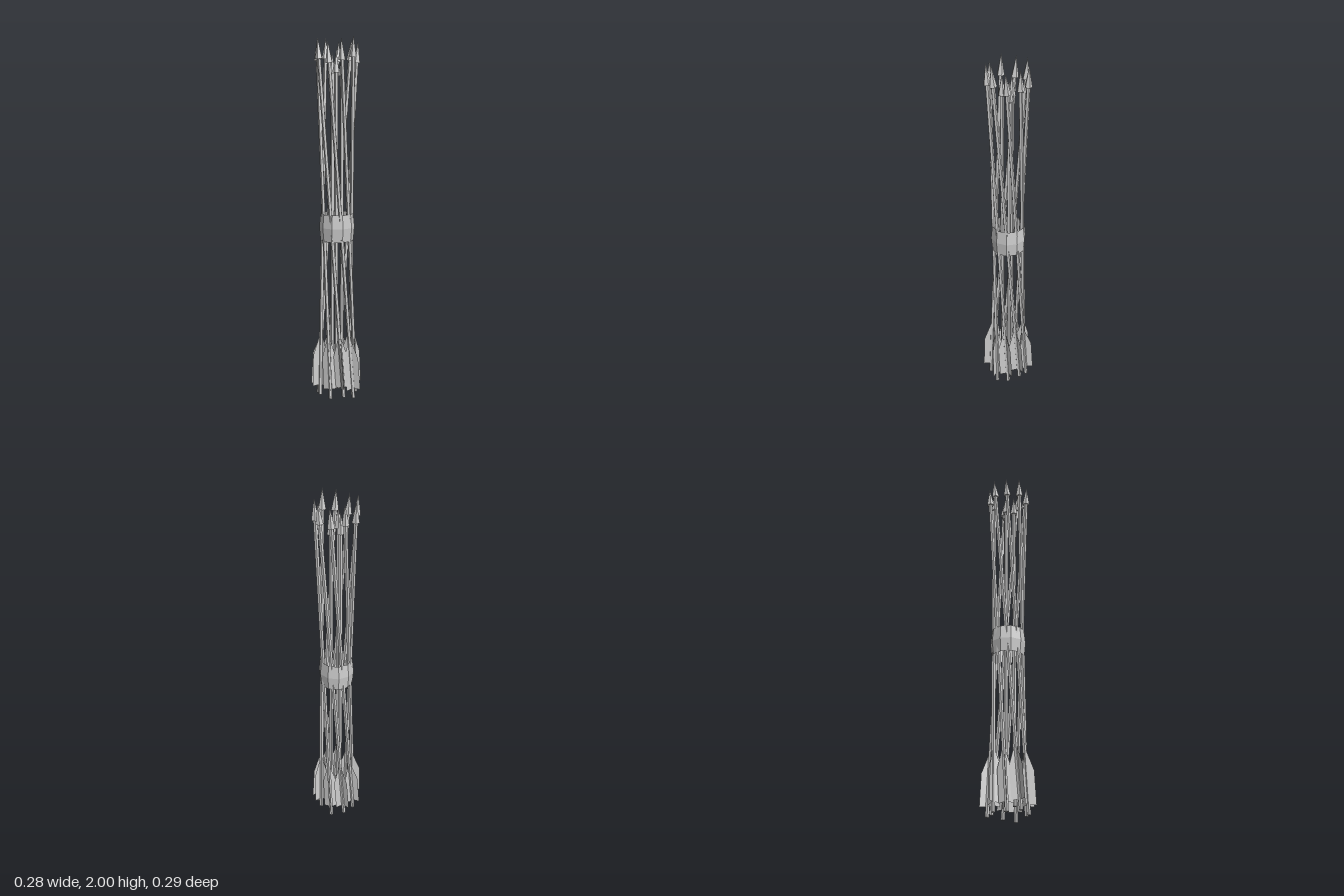
import * as THREE from 'three';

const mat = new THREE.MeshStandardMaterial({ color: 0xcccccc, flatShading: true });
const thin = new THREE.MeshStandardMaterial({ color: 0xcccccc, flatShading: true, side: THREE.DoubleSide });
const rad = THREE.MathUtils.degToRad;
const HEAD = 0.115;

// Point on a ring around the y axis; the angle runs from +x towards +z
const polar = (deg, r, y) => new THREE.Vector3(r * Math.cos(rad(deg)), y, r * Math.sin(rad(deg)));

// Feather outline: x outwards from the shaft, y along it from the tail end
const finShape = new THREE.Shape([
  [0, 0.055], [0.044, 0.05], [0.044, 0.23], [0.008, 0.34], [0, 0.34],
].map(([x, y]) => new THREE.Vector2(x, y)));
const finGeo = new THREE.ShapeGeometry(finShape);

// One arrow from tail to tip; finAngle is the heading of the first feather
function makeArrow(name, tail, tip, finAngle) {
  const arrow = new THREE.Group();
  arrow.name = name;
  const length = tail.distanceTo(tip);

  const shaftLength = length - HEAD + 0.01;
  const shaft = new THREE.Mesh(new THREE.CylinderGeometry(0.011, 0.011, shaftLength, 5), mat);
  shaft.name = 'shaft';
  shaft.position.y = shaftLength / 2;

  const head = new THREE.Mesh(new THREE.ConeGeometry(0.021, HEAD, 5), mat);
  head.name = 'arrowhead';
  head.position.y = length - HEAD / 2;
  arrow.add(shaft, head);

  if (finAngle !== undefined) {
    for (let i = 0; i < 3; i++) {
      const fin = new THREE.Mesh(finGeo, thin);
      fin.name = 'feather';
      fin.rotation.y = -rad(finAngle + i * 120);
      arrow.add(fin);
    }
  }

  arrow.position.copy(tail);
  arrow.quaternion.setFromUnitVectors(new THREE.Vector3(0, 1, 0), tip.clone().sub(tail).normalize());
  return arrow;
}

export function createModel() {
  const group = new THREE.Group();
  group.name = 'arrowBundle';

  // Outer arrows, leaning round the bundle so that it narrows at the band:
  // tip angle, tip radius, tip height, feather heading
  const outer = [
    [-74, 0.109, 1.99, 205], [-34, 0.108, 1.975, 235], [8, 0.106, 1.98, 20],
    [49, 0.113, 1.97, 70], [90, 0.114, 2.0, 3], [128, 0.113, 1.985, 5],
    [165, 0.114, 1.97, 70], [204, 0.114, 1.99, 133], [244, 0.11, 1.98, 260],
  ];
  for (const [angle, r, y, fin] of outer) {
    group.add(makeArrow('outerArrow', polar(angle - 85, 0.107, y - 1.97), polar(angle, r, y), fin));
  }

  // Upright arrows in the middle, hidden feathers left off
  [[32, 0.028, 1.9], [146, 0.034, 1.92], [260, 0.029, 1.91]].forEach(([angle, r, y]) => {
    group.add(makeArrow('innerArrow', polar(angle, r, y - 1.86), polar(angle, r, y)));
  });

  // Faceted band, bulging slightly at mid height
  const profile = [[0.09, 0.89], [0.097, 0.965], [0.09, 1.04]].map(([x, y]) => new THREE.Vector2(x, y));
  const band = new THREE.Mesh(new THREE.LatheGeometry(profile, 10, rad(6)), thin);
  band.name = 'band';
  group.add(band);

  return group;
}
